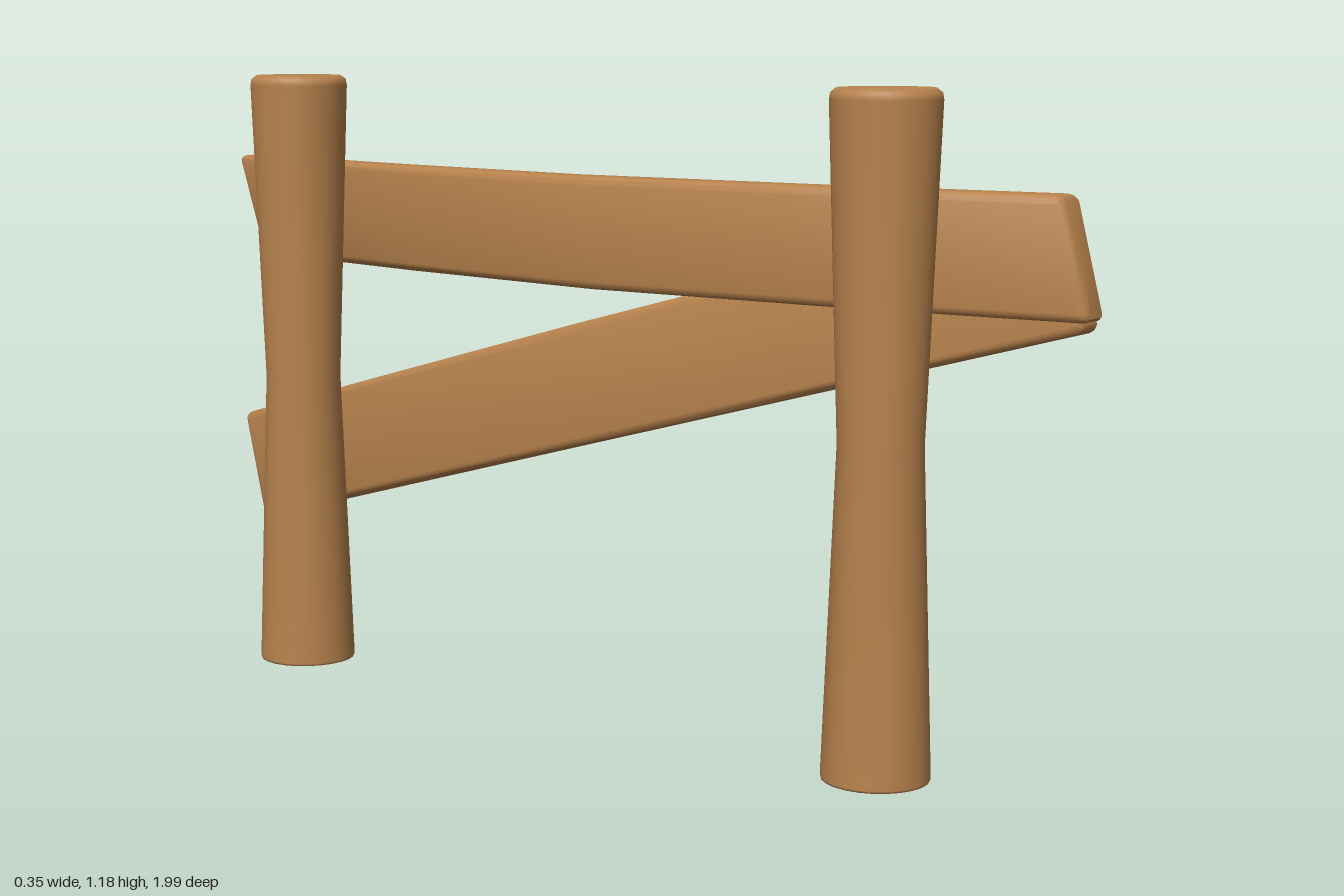
import * as THREE from 'three';
import { toCreasedNormals } from 'three/addons/utils/BufferGeometryUtils.js';

const wood = new THREE.MeshStandardMaterial({ color: 0xb8834d });
wood.name = 'wood';

const BEVEL = 0.014, STEPS = 3, HALF_THICK = 0.034, HALF_HIGH = 0.105;

// Rounded rectangle loop, shrunk by d, as [thickness, height] points
function section(d) {
  const r = BEVEL - d + 0.001, pts = [];
  [[1, 1], [-1, 1], [-1, -1], [1, -1]].forEach(([sx, sy], q) => {
    for (let i = 0; i <= STEPS; i++) {
      const a = (q + i / STEPS) * Math.PI / 2;
      pts.push([
        sx * (HALF_THICK - d - r) + r * Math.cos(a),
        sy * (HALF_HIGH - d - r) + r * Math.sin(a),
      ]);
    }
  });
  return pts;
}

// Plank given by its four side corners [z, y] and the centre x at five stations, front to back
function makeRail(name, { frontLow, frontHigh, backLow, backHigh, bend, tilt }) {
  const length = frontLow[0] - backLow[0];
  const rings = [];
  for (let i = 0; i <= STEPS; i++) {
    const a = i / STEPS * Math.PI / 2;
    rings.push([BEVEL * (1 - Math.sin(a)) / length, BEVEL * (1 - Math.cos(a))].map((v, k) =>
      k === 0 ? BEVEL * (1 - Math.sin(a)) / length : v));
  }
  // The end face is the most inset ring; insets shrink towards the body
  const ends = [];
  for (let i = 0; i <= STEPS; i++) {
    const a = i / STEPS * Math.PI / 2;
    ends.push([BEVEL * (1 - Math.cos(a)) / length, BEVEL * (1 - Math.sin(a))]);
  }
  const stations = [
    ...ends, [0.25, 0], [0.5, 0], [0.75, 0],
    ...ends.map(([t, d]) => [1 - t, d]).reverse(),
  ];

  const place = (t, u, v) => {
    const s = Math.min(3, Math.floor(t * 4));
    const x = THREE.MathUtils.lerp(bend[s], bend[s + 1], t * 4 - s);
    const k = (v / HALF_HIGH + 1) / 2;
    const at = (i) => THREE.MathUtils.lerp(
      THREE.MathUtils.lerp(frontLow[i], frontHigh[i], k),
      THREE.MathUtils.lerp(backLow[i], backHigh[i], k), t);
    return [x + u + tilt * (2 * k - 1), at(1), at(0)];
  };

  const pos = [], index = [];
  for (const [t, d] of stations) {
    for (const [u, v] of section(d)) pos.push(...place(t, u, v));
  }
  const n = 4 * (STEPS + 1), last = stations.length - 1;
  for (let r = 0; r < last; r++) {
    for (let i = 0; i < n; i++) {
      const j = (i + 1) % n, a = r * n + i, b = r * n + j;
      index.push(a, a + n, b, b, a + n, b + n);
    }
  }
  // End caps
  const c0 = pos.length / 3;
  pos.push(...place(0, 0, 0), ...place(1, 0, 0));
  for (let i = 0; i < n; i++) {
    const j = (i + 1) % n;
    index.push(c0, i, j, c0 + 1, last * n + j, last * n + i);
  }
  const geo = new THREE.BufferGeometry();
  geo.setAttribute('position', new THREE.Float32BufferAttribute(pos, 3));
  geo.setIndex(index);
  const mesh = new THREE.Mesh(toCreasedNormals(geo, 0.62), wood);
  mesh.name = name;
  return mesh;
}

export function createModel() {
  const group = new THREE.Group();
  group.name = 'fence';

  // Waisted round posts
  const profile = [[0, 0], [0.094, 0], [0.095, 0.004], [0.074, 0.58], [0.095, 1.16],
    [0.093, 1.172], [0.083, 1.18], [0, 1.181]].map(([r, y]) => new THREE.Vector2(r, y));
  const postGeo = new THREE.LatheGeometry(profile, 24);
  for (const [name, z] of [['frontPost', 0.69], ['backPost', -0.68]]) {
    const post = new THREE.Mesh(postGeo, wood);
    post.name = name;
    post.position.set(-0.085, 0, z);
    group.add(post);
  }

  // Bowed rails: one level, one sloping down to the back
  group.add(makeRail('upperRail', {
    frontLow: [1.0, 0.795], frontHigh: [0.945, 1.005],
    backLow: [-0.93, 0.8], backHigh: [-1.0, 1.005],
    bend: [0.083, 0.015, -0.025, 0.015, 0.083], tilt: 0,
  }));
  group.add(makeRail('slopingRail', {
    frontLow: [0.965, 0.772], frontHigh: [0.905, 0.99],
    backLow: [-0.895, 0.247], backHigh: [-0.957, 0.463],
    bend: [0.137, 0.05, -0.007, 0.01, 0.04], tilt: 0.004,
  }));
  return group;
}
